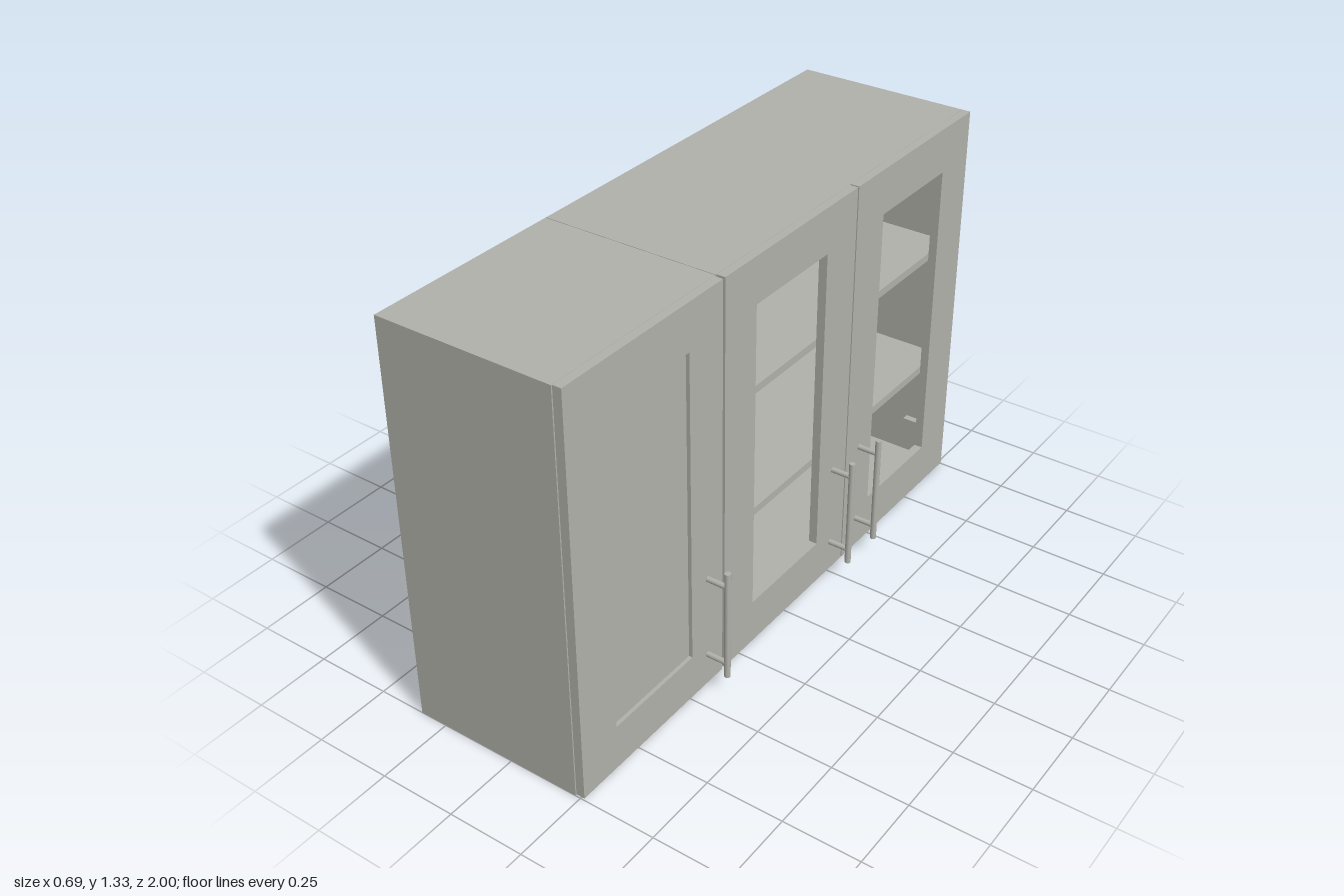
import * as THREE from 'three';

const HEIGHT = 1.333, BOARD = 0.027;
const BACK = -0.343, FRONT = 0.233;        // carcass depth along x
const DOOR_BACK = 0.235, DOOR_FRONT = 0.263;

export function createModel() {
  const paint = new THREE.MeshStandardMaterial({ color: 0xb0b1aa });
  paint.name = 'warm grey';

  // Box given by its limits on each axis
  function box(parent, name, x0, x1, y0, y1, z0, z1) {
    const mesh = new THREE.Mesh(new THREE.BoxGeometry(x1 - x0, y1 - y0, z1 - z0), paint);
    mesh.position.set((x0 + x1) / 2, (y0 + y1) / 2, (z0 + z1) / 2);
    mesh.name = name;
    parent.add(mesh);
  }

  // Round bar along one axis
  function bar(parent, name, radius, length, axis, x, y, z) {
    const geo = new THREE.CylinderGeometry(radius, radius, length, 16);
    if (axis === 'x') geo.rotateZ(Math.PI / 2);
    if (axis === 'z') geo.rotateX(Math.PI / 2);
    const mesh = new THREE.Mesh(geo, paint);
    mesh.position.set(x, y, z);
    mesh.name = name;
    parent.add(mesh);
  }

  // Open-fronted carcass with two full-depth shelves
  function cabinet(name, z0, z1) {
    const g = new THREE.Group();
    g.name = name;
    const top = HEIGHT - BOARD;
    box(g, 'bottomPanel', BACK, FRONT, 0, BOARD, z0, z1);
    box(g, 'topPanel', BACK, FRONT, top, HEIGHT, z0, z1);
    box(g, 'sidePanel', BACK, FRONT, BOARD, top, z0, z0 + BOARD);
    box(g, 'sidePanel', BACK, FRONT, BOARD, top, z1 - BOARD, z1);
    box(g, 'backPanel', BACK + 0.008, BACK + 0.018, BOARD, top, z0 + BOARD, z1 - BOARD);
    for (const y of [0.43, 0.857]) {
      box(g, 'shelf', BACK + 0.018, FRONT - 0.008, y, y + 0.026, z0 + BOARD, z1 - BOARD);
    }
    return g;
  }

  // Framed door; the hinge side is +1 for the +z edge and -1 for the -z edge
  function door(name, z0, z1, open0, open1, handleZ, hingeSide, solid) {
    const g = new THREE.Group();
    g.name = name;
    const low = 0.005, sill = 0.155, head = 1.185, top = HEIGHT + 0.001;
    box(g, 'stile', DOOR_BACK, DOOR_FRONT, low, top, z0, open0);
    box(g, 'stile', DOOR_BACK, DOOR_FRONT, low, top, open1, z1);
    box(g, 'bottomRail', DOOR_BACK, DOOR_FRONT, low, sill, open0, open1);
    box(g, 'topRail', DOOR_BACK, DOOR_FRONT, head, top, open0, open1);
    if (solid) box(g, 'doorPanel', DOOR_BACK + 0.004, DOOR_FRONT - 0.012, sill, head, open0, open1);

    // Bar handle on two posts
    const handle = new THREE.Group();
    handle.name = 'handle';
    bar(handle, 'handleBar', 0.01, 0.38, 'y', 0.333, 0.255, handleZ);
    for (const y of [0.115, 0.395]) bar(handle, 'handlePost', 0.009, 0.07, 'x', 0.297, y, handleZ);
    g.add(handle);

    // Concealed hinges on the inner face
    const hingeZ = hingeSide > 0 ? z1 - 0.075 : z0 + 0.075;
    for (const y of [0.16, 1.17]) {
      bar(g, 'hingeCup', 0.022, 0.02, 'x', 0.226, y, hingeZ);
      box(g, 'hingeArm', 0.13, 0.22, y - 0.01, y + 0.01,
        hingeZ + hingeSide * 0.035 - 0.012, hingeZ + hingeSide * 0.035 + 0.012);
    }
    return g;
  }

  const model = new THREE.Group();
  model.name = 'wallCabinets';
  model.add(
    cabinet('singleCabinet', 0.335, 1),
    cabinet('doubleCabinet', -1, 0.333),
    door('solidDoor', 0.342, 0.998, 0.492, 0.848, 0.415, 1, true),
    door('openDoor', -0.329, 0.331, -0.175, 0.183, -0.255, 1, false),
    door('openDoor', -0.998, -0.335, -0.843, -0.485, -0.412, -1, false),
  );
  return model;
}
